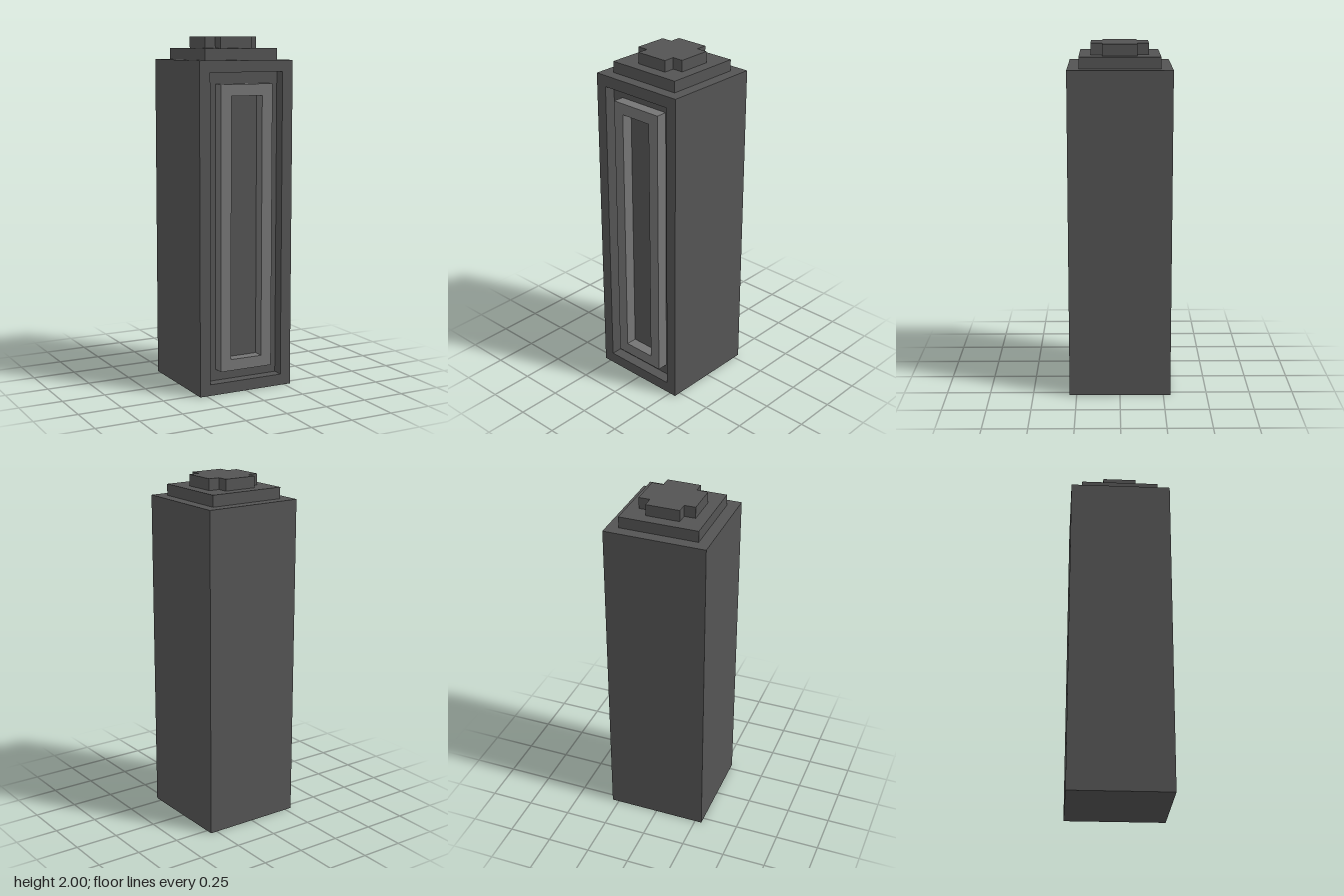
import * as THREE from 'three';

const U = 2 / 31; // one block unit
const dark = new THREE.MeshStandardMaterial({ color: 0x545454 });
dark.name = 'dark grey';
const light = new THREE.MeshStandardMaterial({ color: 0x757575 });
light.name = 'light grey';

// Sizes and positions below are in block units.
function add(group, name, geometry, material, x, y, z) {
  geometry.scale(U, U, U);
  const mesh = new THREE.Mesh(geometry, material);
  mesh.name = name;
  mesh.position.set(x * U, y * U, z * U);
  group.add(mesh);
  return mesh;
}

function rectPoints(w, y0, y1) {
  const h = w / 2;
  return [[-h, y0], [h, y0], [h, y1], [-h, y1]].map(([x, y]) => new THREE.Vector2(x, y));
}

// Rectangular ring, one unit deep, with a border one unit wide
function frame(w, y0, y1) {
  const shape = new THREE.Shape(rectPoints(w, y0, y1));
  shape.holes.push(new THREE.Path(rectPoints(w - 2, y0 + 1, y1 - 1)));
  return new THREE.ExtrudeGeometry(shape, { depth: 1, bevelEnabled: false });
}

export function createModel() {
  const model = new THREE.Group();
  model.name = 'pillar';

  // Main body, with the front rim leaving a recess one unit deep
  add(model, 'body', new THREE.BoxGeometry(9, 29, 8), dark, 0, 14.5, -0.5);
  add(model, 'frontRim', frame(9, 0, 29), dark, 0, 0, 3.5);

  // Lighter frame standing inside the recess, flush with the rim
  add(model, 'panelFrame', frame(5, 2, 27), light, 0, 0, 3.5);

  // Stepped top
  add(model, 'topStep', new THREE.BoxGeometry(7, 1, 7), dark, 0, 29.5, 0);

  // Cross-shaped cap
  const a = 2.5, b = 1.5;
  const cross = new THREE.Shape([
    [a, -b], [a, b], [b, b], [b, a], [-b, a], [-b, b],
    [-a, b], [-a, -b], [-b, -b], [-b, -a], [b, -a], [b, -b],
  ].map(([x, y]) => new THREE.Vector2(x, y)));
  const cap = new THREE.ExtrudeGeometry(cross, { depth: 1, bevelEnabled: false });
  cap.rotateX(-Math.PI / 2);
  add(model, 'crossCap', cap, dark, 0, 30, 0);

  return model;
}
